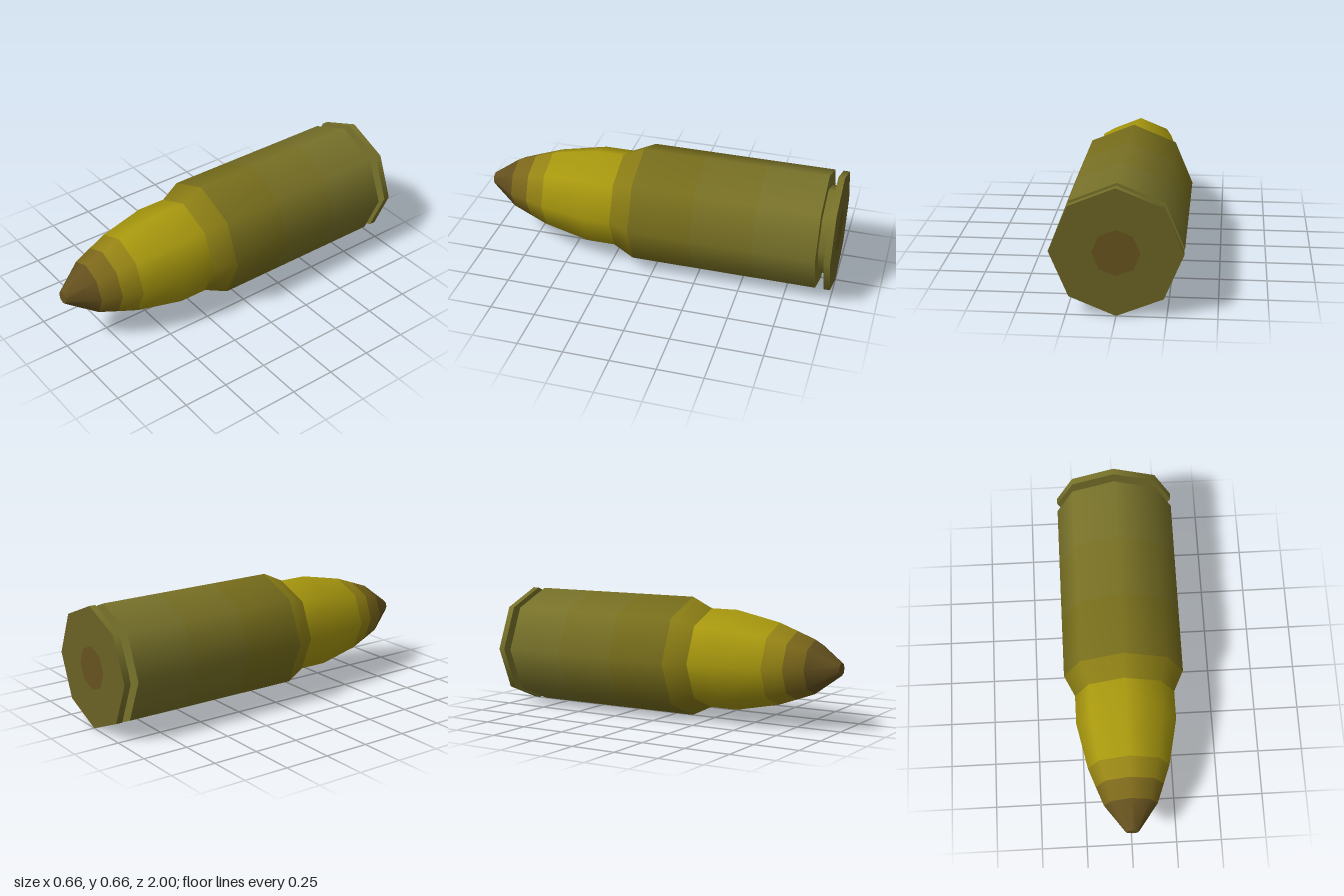
import * as THREE from 'three';

const SIDES = 8;
const AXIS_Y = 0.332;

// Turned part along z: profile of [z, radius] points, one colour per band, smooth within the part
function turned(name, profile, colors) {
  const points = profile.map(([z, r]) => new THREE.Vector2(r, z));
  const geometry = new THREE.LatheGeometry(points, SIDES);
  const bands = profile.length - 1;
  let material;
  if (colors.length === 1) {
    material = new THREE.MeshStandardMaterial({ color: colors[0] });
  } else {
    // Each lathe cell takes the material of its band
    for (let i = 0; i < SIDES; i++) {
      for (let j = 0; j < bands; j++) geometry.addGroup((i * bands + j) * 6, 6, j);
    }
    material = colors.map((color) => new THREE.MeshStandardMaterial({ color }));
  }
  geometry.rotateX(Math.PI / 2);
  const mesh = new THREE.Mesh(geometry, material);
  mesh.name = name;
  mesh.position.y = AXIS_Y;
  return mesh;
}

// Flat octagonal disc or ring across the axis; dir is +1 facing front, -1 facing back
function face(name, z, inner, outer, dir, color) {
  const profile = dir > 0 ? [[z, outer], [z, inner]] : [[z, inner], [z, outer]];
  return turned(name, profile, [color]);
}

export function createModel() {
  const group = new THREE.Group();
  group.name = 'cartridge';
  const olive = 0x78722a, brown = 0x64501e, yellow = 0xa8980e;

  group.add(
    // Rim and its two faces
    face('baseCentre', -1, 0, 0.12, -1, 0x66531e),
    face('baseFace', -1, 0.12, 0.332, -1, 0x6a6224),
    turned('rim', [[-1, 0.332], [-0.965, 0.332]], [olive]),
    face('rimFront', -0.965, 0.245, 0.332, 1, olive),

    // Extractor groove
    turned('groove', [[-0.965, 0.245], [-0.92, 0.245]], [olive]),

    // Case wall with tapered shoulder
    face('caseBack', -0.92, 0.245, 0.332, -1, olive),
    turned(
      'caseBody',
      [[-0.92, 0.332], [-0.58, 0.332], [-0.24, 0.332], [0.105, 0.332], [0.225, 0.275]],
      [olive, 0x787024, 0x786e1c, 0x8a7c14]
    ),

    // Bullet with darkening nose
    turned(
      'bullet',
      [[0.225, 0.275], [0.385, 0.275], [0.64, 0.222], [0.745, 0.184], [0.85, 0.145], [1, 0.035]],
      [yellow, yellow, 0x968414, 0x7c681a, brown]
    ),
    face('bulletTip', 1, 0, 0.035, 1, brown)
  );
  return group;
}
